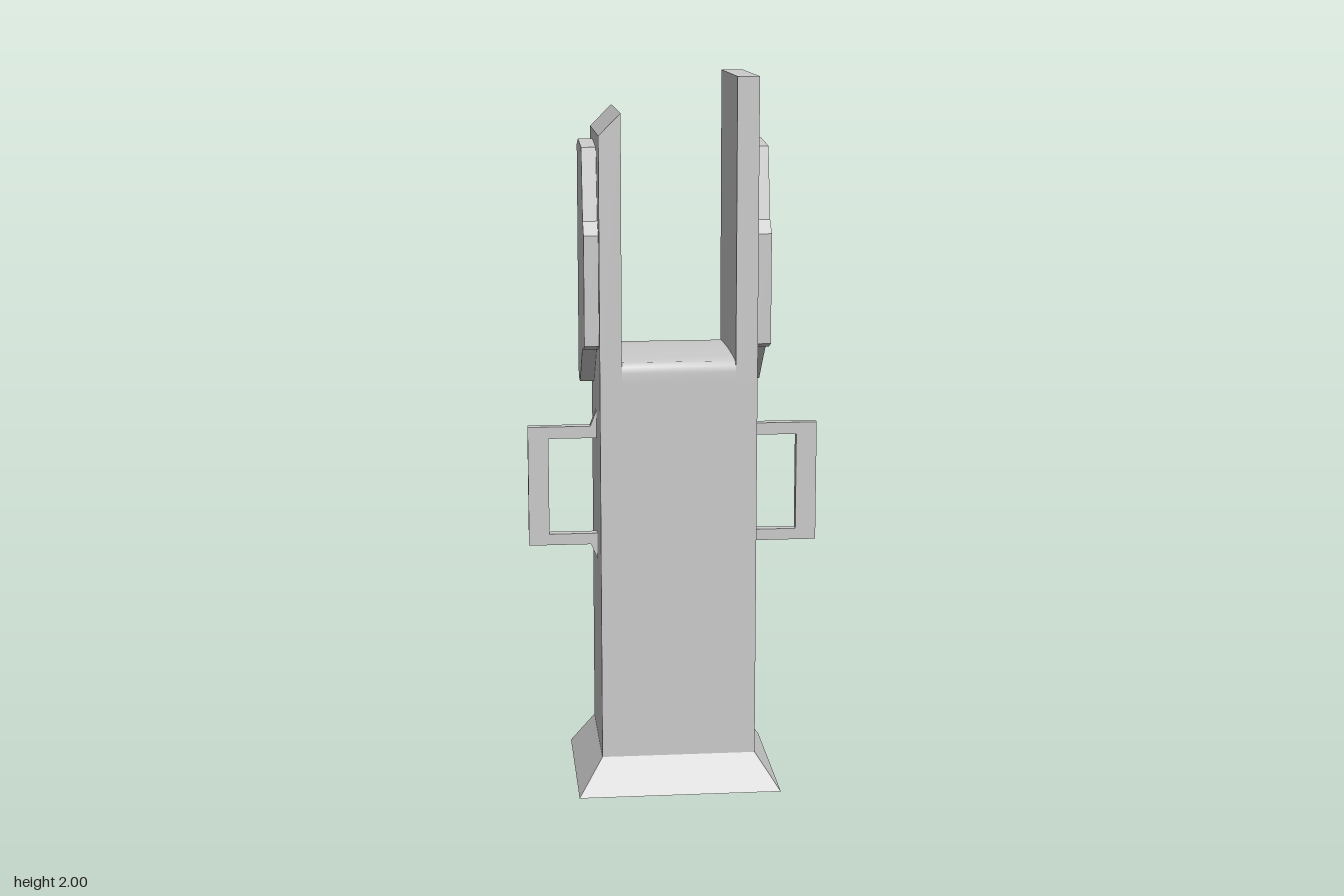
import * as THREE from 'three';

const HW = 0.2165, HD = 0.184;      // body half width and half depth
const WALL = 0.06, FLOOR = 1.17;    // prong thickness, height where the prongs start

const flat = new THREE.MeshStandardMaterial({ color: 0xcccccc, flatShading: true });
const shell = new THREE.MeshStandardMaterial({ color: 0xcccccc, flatShading: true, side: THREE.DoubleSide });
const smooth = new THREE.MeshStandardMaterial({ color: 0xcccccc, side: THREE.DoubleSide });

function mesh(name, geometry, material = flat) {
  const m = new THREE.Mesh(geometry, material);
  m.name = name;
  return m;
}

function extrude(points, depth) {
  const shape = new THREE.Shape(points.map(([x, y]) => new THREE.Vector2(x, y)));
  return new THREE.ExtrudeGeometry(shape, { depth, bevelEnabled: false });
}

// Joins rows of points, each row having the same count, with quads
function skin(rows, closed) {
  const n = rows[0].length, index = [];
  for (let r = 0; r < rows.length - 1; r++) {
    for (let i = 0; i < (closed ? n : n - 1); i++) {
      const a = r * n + i, b = r * n + (i + 1) % n;
      index.push(a, b, b + n, a, b + n, a + n);
    }
  }
  const g = new THREE.BufferGeometry();
  g.setAttribute('position', new THREE.Float32BufferAttribute(rows.flat(2), 3));
  g.setIndex(index);
  g.computeVertexNormals();
  return g;
}

const ring = (w, d, y) => [[-w, y, d], [w, y, d], [w, y, -d], [-w, y, -d]];

export function createModel() {
  const model = new THREE.Group();

  // Hollow foot and column, open underneath
  model.add(mesh('flaredFoot', skin([ring(0.285, 0.24, 0), ring(HW, HD, 0.1)], true), shell));
  model.add(mesh('column', skin([ring(HW, HD, 0.1), ring(HW, HD, FLOOR)], true), shell));

  // Two prongs: a tall square one and a shorter one with a slanted tip
  const inner = HW - WALL;
  const tall = extrude([[inner, FLOOR], [HW, FLOOR], [HW, 2], [inner, 2]], 2 * HD);
  const short = extrude([[-HW, FLOOR], [-inner, FLOOR], [-inner, 1.905], [-HW, 1.845]], 2 * HD);
  model.add(mesh('tallProng', tall.translate(0, 0, -HD)));
  model.add(mesh('slantedProng', short.translate(0, 0, -HD)));

  // Softly crowned floor between the prongs, rolling over at front and back
  const half = [[HD, FLOOR], [HD, 1.2], [0.181, 1.217], [0.172, 1.229], [0.1, 1.233]];
  const profile = [...half, [0, 1.235], ...half.map(([z, y]) => [-z, y]).reverse()];
  const rows = profile.map(([z, y]) => [[-inner, y, z], [inner, y, z]]);
  model.add(mesh('slotFloor', skin(rows, false), smooth));

  // Side plates, outline given as z, y
  const plate = extrude([
    [0.155, 1.272], [0.155, 1.575], [0.118, 1.61], [0.072, 1.806], [-0.083, 1.817],
    [-0.147, 1.797], [-0.147, 1.132], [-0.078, 1.132], [0.054, 1.25], [0.111, 1.256],
  ], 0.04).rotateY(-Math.PI / 2);

  // Bracket handles with small gussets where they meet the column
  const handle = extrude([
    [HW, 1.065], [0.234, 1.02], [0.41, 1.02], [0.41, 0.677], [0.234, 0.677], [HW, 0.635],
    [HW, 0.709], [0.352, 0.709], [0.352, 0.986], [HW, 0.986],
  ], 0.028).translate(0, 0, -0.014);

  for (const side of [1, -1]) {
    const name = side > 0 ? 'left' : 'right';
    const p = mesh(name + 'SidePlate', plate);
    p.position.x = side > 0 ? HW + 0.04 : -HW;
    const h = mesh(name + 'Handle', handle);
    h.rotation.y = side > 0 ? 0 : Math.PI;
    model.add(p, h);
  }
  return model;
}
